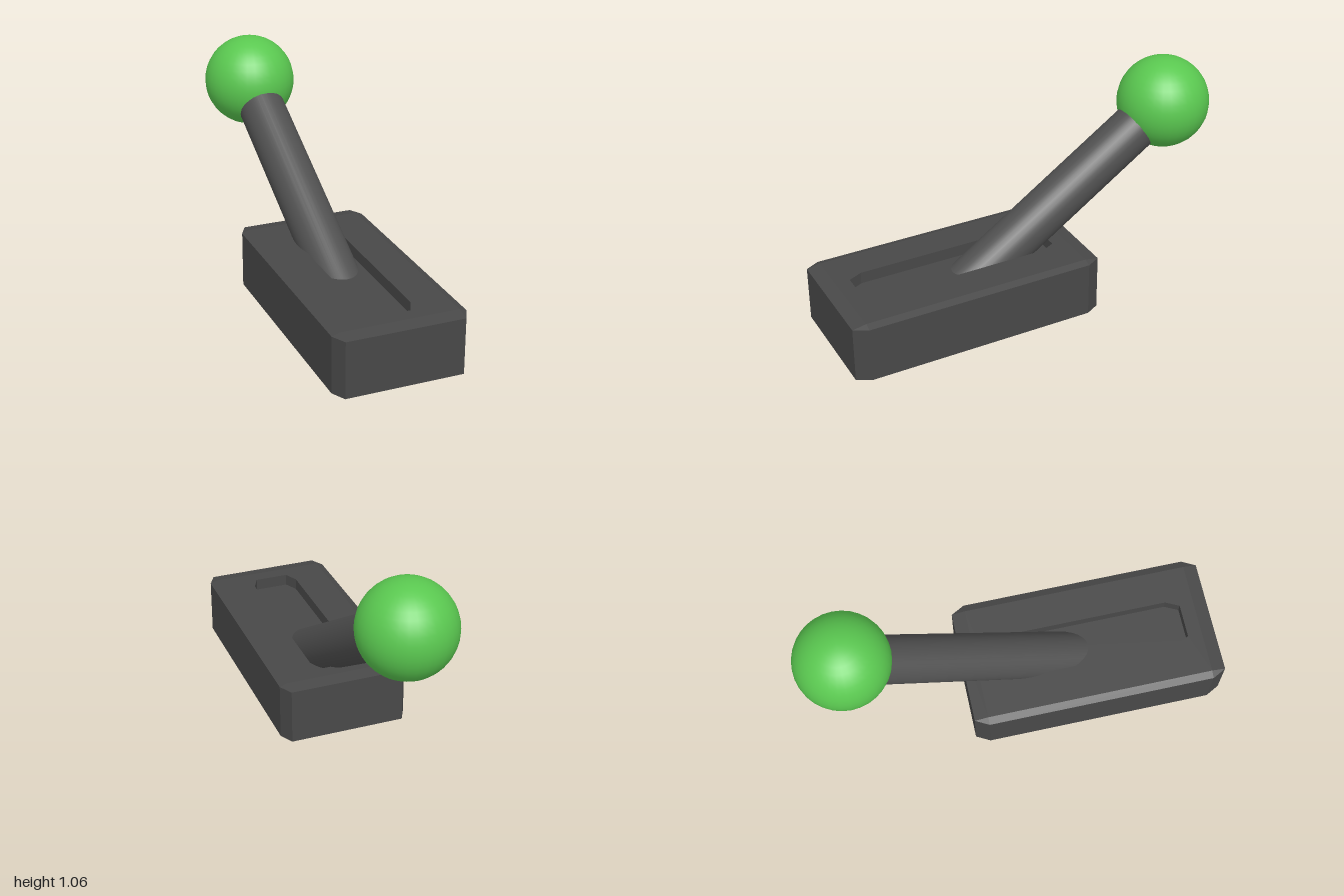
import * as THREE from 'three';

// Chamfered rectangle (8 points) at height y; zero chamfers collapse it to a rectangle
function ring(y, hx, hz, cx, cz) {
  const zMid = 0.382;
  return [
    [hx, -hz + cz], [hx, hz - cz], [hx - cx, hz], [-hx + cx, hz],
    [-hx, hz - cz], [-hx, -hz + cz], [-hx + cx, -hz], [hx - cx, -hz],
  ].map(([x, z]) => new THREE.Vector3(x, y, z + zMid));
}

// Skin a stack of rings with flat faces, skipping collapsed triangles
function loft(rings) {
  const points = [];
  const triangle = new THREE.Triangle();
  const add = (a, b, c) => {
    if (triangle.set(a, b, c).getArea() > 1e-7) points.push(a, b, c);
  };
  for (let k = 0; k < rings.length - 1; k++) {
    for (let i = 0; i < 8; i++) {
      const j = (i + 1) % 8;
      const a = rings[k][i], b = rings[k][j], c = rings[k + 1][i], d = rings[k + 1][j];
      add(a, c, b);
      add(b, c, d);
    }
  }
  const geometry = new THREE.BufferGeometry().setFromPoints(points);
  geometry.computeVertexNormals();
  return geometry;
}

export function createModel() {
  const model = new THREE.Group();
  const add = (name, geometry, color, flatShading = false) => {
    const mesh = new THREE.Mesh(geometry, new THREE.MeshStandardMaterial({ color, flatShading }));
    mesh.name = name;
    model.add(mesh);
    return mesh;
  };

  // Chamfered base with a long slot sunk into its top
  add('slottedBase', loft([
    ring(0, 0, 0, 0, 0),
    ring(0, 0.277, 0.552, 0, 0),
    ring(0.012, 0.312, 0.618, 0.035, 0.066),
    ring(0.28, 0.312, 0.618, 0.035, 0.066),
    ring(0.292, 0.277, 0.552, 0, 0),
    ring(0.292, 0.113, 0.483, 0.032, 0.066),
    ring(0.235, 0.113, 0.483, 0.032, 0.066),
    ring(0.235, 0, 0, 0, 0),
  ]), 0x484848, true);

  // Knob on the end of the lever
  const knobCentre = new THREE.Vector3(-0.047, 0.837, -0.776);
  const knob = add('knob', new THREE.SphereGeometry(0.223, 32, 20), 0x5ac850);
  knob.position.copy(knobCentre);

  // Leaning lever, running from inside the base to inside the knob
  const foot = new THREE.Vector3(-0.001, 0.12, 0.357);
  const axis = knobCentre.clone().sub(foot);
  const length = axis.length() - 0.1;
  axis.normalize();
  const lever = add('lever', new THREE.CylinderGeometry(0.113, 0.113, length, 32), 0x505050);
  lever.quaternion.setFromUnitVectors(new THREE.Vector3(0, 1, 0), axis);
  lever.position.copy(foot).addScaledVector(axis, length / 2);

  return model;
}
